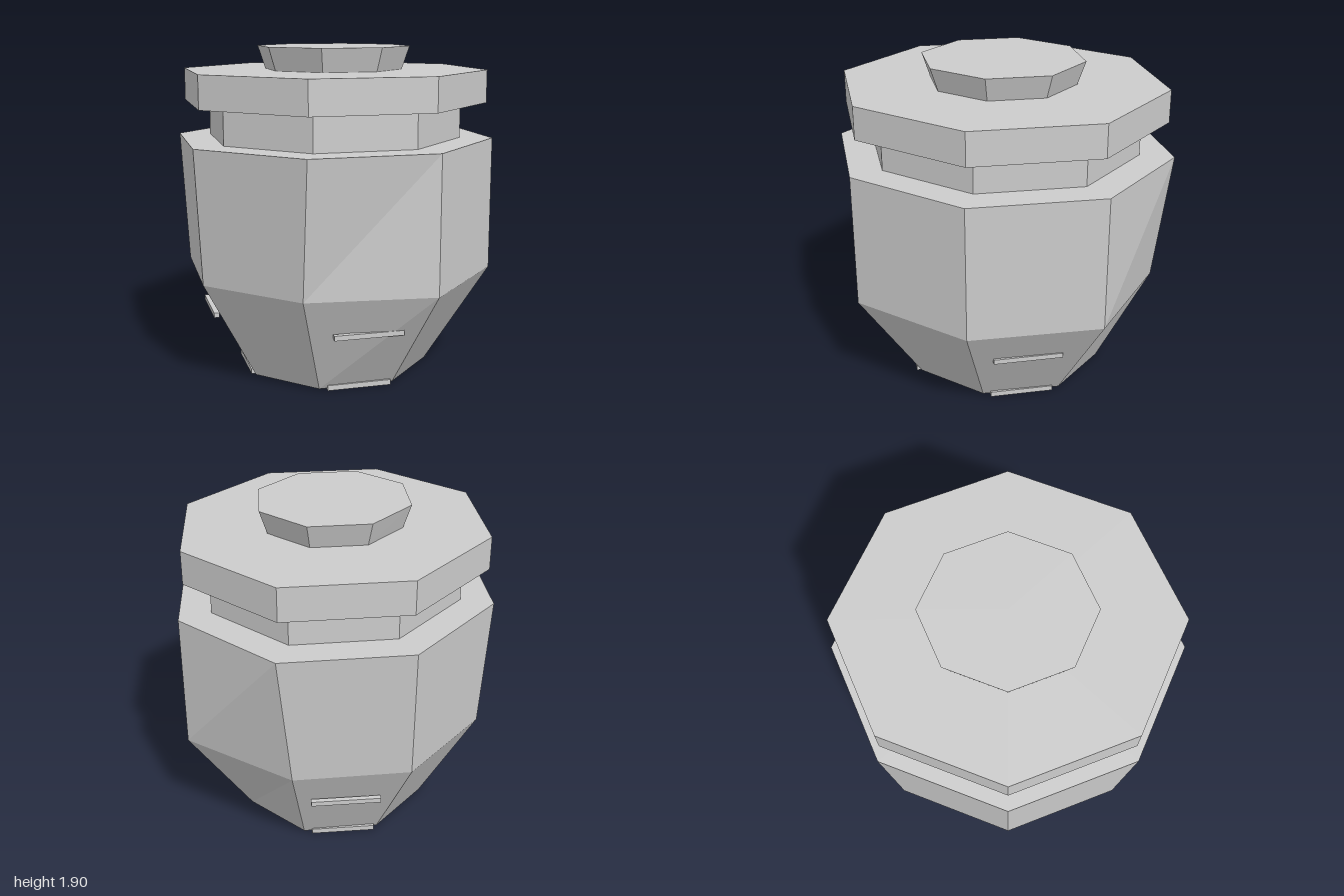
import * as THREE from 'three';

const material = new THREE.MeshStandardMaterial({ color: 0xcccccc, flatShading: true });

// Eight-sided ring with corners on the axes
function octagon(rx, rz, y) {
  return Array.from({ length: 8 }, (_, i) => {
    const a = (i * Math.PI) / 4;
    return new THREE.Vector3(rx * Math.sin(a), y, rz * Math.cos(a));
  });
}

// Closed, faceted solid through a stack of rings, bottom to top
function loft(name, rings) {
  const points = [];
  const bottom = rings[0];
  const top = rings[rings.length - 1];
  for (let i = 0; i < 8; i++) {
    const j = (i + 1) % 8;
    for (let r = 0; r < rings.length - 1; r++) {
      const lo = rings[r], hi = rings[r + 1];
      points.push(lo[i], lo[j], hi[j], lo[i], hi[j], hi[i]);
    }
    points.push(new THREE.Vector3(0, top[0].y, 0), top[i], top[j]);
    points.push(new THREE.Vector3(0, bottom[0].y, 0), bottom[j], bottom[i]);
  }
  const geometry = new THREE.BufferGeometry().setFromPoints(points);
  geometry.computeVertexNormals();
  const mesh = new THREE.Mesh(geometry, material);
  mesh.name = name;
  return mesh;
}

// Slats repeated on every second face around the jar
function slatRow(name, along, outX, outZ, y, length, height) {
  const row = new THREE.Group();
  row.name = name;
  const geometry = new THREE.BoxGeometry(length, height, 0.03);
  for (let k = 0; k < 4; k++) {
    const turn = (k * Math.PI) / 2;
    const out = k % 2 ? outX : outZ;
    const slat = new THREE.Mesh(geometry, material);
    slat.name = 'slat';
    slat.position.set(along, y, out).applyAxisAngle(new THREE.Vector3(0, 1, 0), turn);
    slat.rotation.y = turn + Math.PI / 8;
    row.add(slat);
  }
  return row;
}

// Small rectangular frame fixed under the lid
function buckle() {
  const w = 0.085, h = 0.035;
  const rect = (Type, s, t) => new Type([
    new THREE.Vector2(-s, -t), new THREE.Vector2(s, -t),
    new THREE.Vector2(s, t), new THREE.Vector2(-s, t),
  ]);
  const shape = rect(THREE.Shape, w, h);
  shape.holes.push(rect(THREE.Path, w - 0.02, h - 0.02));
  const geometry = new THREE.ExtrudeGeometry(shape, { depth: 0.02, bevelEnabled: false });
  geometry.translate(0, 0, -0.01);
  const mesh = new THREE.Mesh(geometry, material);
  mesh.name = 'buckle';
  mesh.rotation.order = 'YXZ';
  mesh.rotation.set(0.4, 2.72, 0);
  mesh.position.set(0.38, 1.54, -0.65);
  return mesh;
}

export function createModel() {
  const model = new THREE.Group();
  model.name = 'jar';

  // Shoulder ring is slightly uneven toward -x
  const shoulder = octagon(0.94, 1.0, 0.6);
  shoulder[0].set(-0.04, 0.6, 0.905);
  shoulder[4].set(-0.04, 0.6, -0.905);
  shoulder[5].set(-0.645, 0.6, -0.64);
  shoulder[6].set(-0.895, 0.6, 0);
  shoulder[7].set(-0.645, 0.6, 0.64);

  model.add(
    loft('body', [octagon(0.565, 0.6, 0.01), shoulder, octagon(0.94, 1.0, 1.375)]),
    loft('neck', [octagon(0.75, 0.8, 1.375), octagon(0.75, 0.8, 1.58)]),
    loft('lid', [octagon(0.9, 0.955, 1.58), octagon(0.9, 0.955, 1.77)]),
    loft('knob', [octagon(0.405, 0.43, 1.77), octagon(0.45, 0.477, 1.905)]),
    slatRow('middleSlats', 0.29, 0.69, 0.712, 0.378, 0.395, 0.028),
    slatRow('bottomSlats', 0.215, 0.49, 0.515, 0.016, 0.37, 0.03),
    buckle(),
  );
  return model;
}
